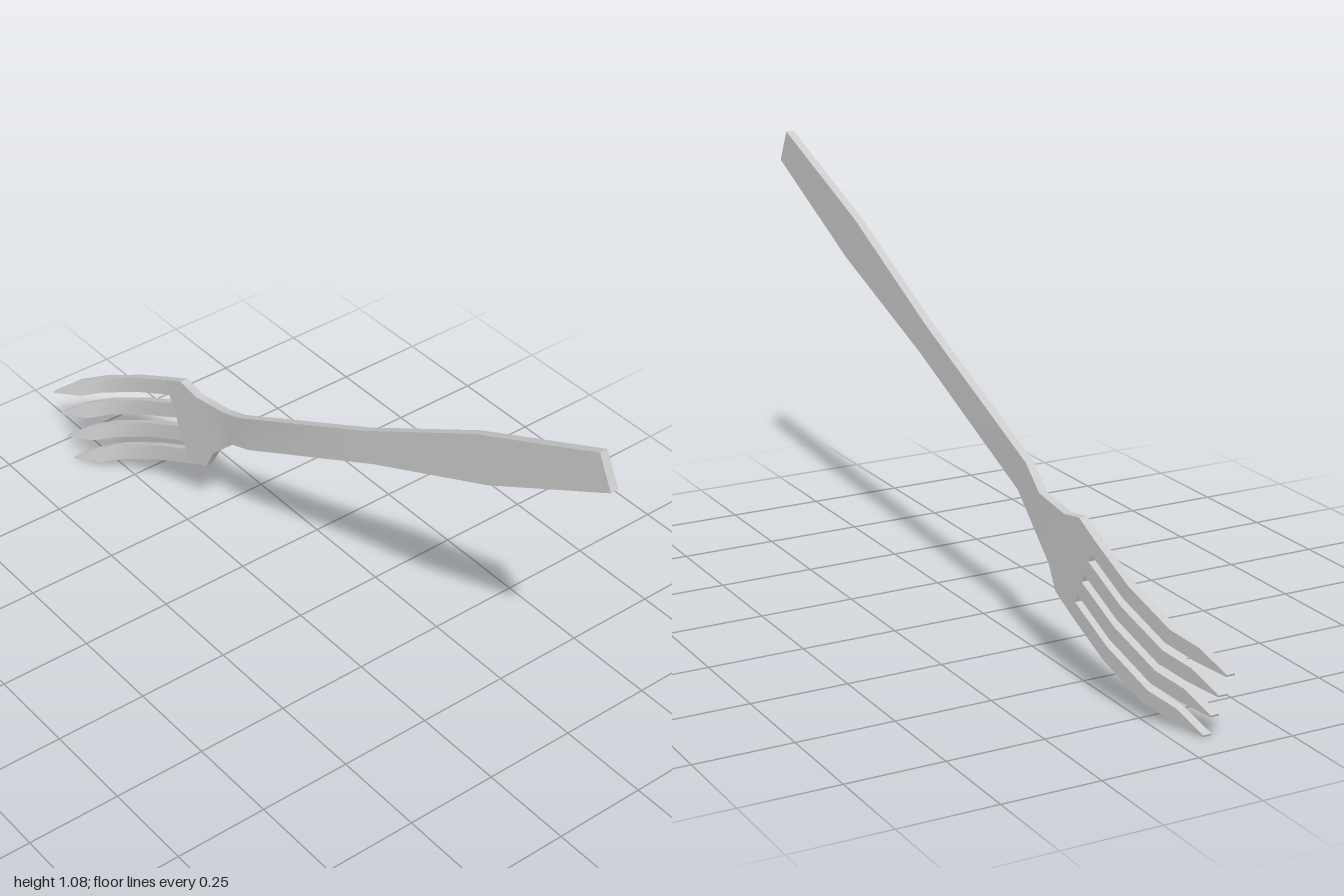
import * as THREE from 'three';
import { toCreasedNormals } from 'three/addons/utils/BufferGeometryUtils.js';

const THICKNESS = 0.022;
const material = new THREE.MeshStandardMaterial({ color: 0xcccccc });

// Side bend of the fork: [distance from the tips, z of the back face]
const BEND = [
  [0, 0.068], [0.076, 0.033], [0.143, -0.006], [0.29, -0.035], [0.44, -0.042],
  [0.686, -0.045], [0.79, -0.028], [2.15, -0.088],
];

function backZ(u) {
  let i = 1;
  while (i < BEND.length - 1 && u > BEND[i][0]) i++;
  const [u0, z0] = BEND[i - 1], [u1, z1] = BEND[i];
  return z0 + (z1 - z0) * (u - u0) / (u1 - u0);
}

// Bent bar lofted through [distance, half width] stations around a centre line
function bar(name, stations, centre, capStart, capEnd) {
  const rings = stations.map(([u, w]) => {
    const z = backZ(u), f = z + THICKNESS;
    return [[u, centre - w, f], [u, centre + w, f], [u, centre + w, z], [u, centre - w, z]];
  });
  const pos = [];
  const quad = (a, b, c, d) => pos.push(...a, ...b, ...c, ...a, ...c, ...d);
  for (let i = 0; i < rings.length - 1; i++) {
    const r = rings[i], s = rings[i + 1];
    for (let j = 0; j < 4; j++) {
      const k = (j + 1) % 4;
      quad(r[j], s[j], s[k], r[k]);
    }
  }
  if (capStart) quad(...rings[0]);
  if (capEnd) quad(...rings[rings.length - 1].slice().reverse());
  const geometry = new THREE.BufferGeometry();
  geometry.setAttribute('position', new THREE.Float32BufferAttribute(pos, 3));
  geometry.computeVertexNormals();
  const mesh = new THREE.Mesh(toCreasedNormals(geometry, 0.6), material);
  mesh.name = name;
  return mesh;
}

export function createModel() {
  const model = new THREE.Group();
  model.name = 'fork';

  // Head, neck and flared handle in one piece
  model.add(bar('headAndHandle', [
    [0.44, 0.12], [0.52, 0.12], [0.575, 0.08], [0.686, 0.045], [0.79, 0.044],
    [1.315, 0.043], [1.735, 0.063], [2.15, 0.047],
  ], 0, true, true));

  // Four pointed tines
  for (let i = 0; i < 4; i++) {
    model.add(bar('tine' + (i + 1), [
      [0, 0.003], [0.076, 0.021], [0.143, 0.021], [0.29, 0.021], [0.44, 0.021],
    ], (i - 1.5) * 0.066, true, false));
  }

  // Lay the fork on its diagonal
  model.rotation.z = Math.atan2(0.948, 1.93);
  model.position.set(-0.955, 0.092, 0);
  return model;
}
